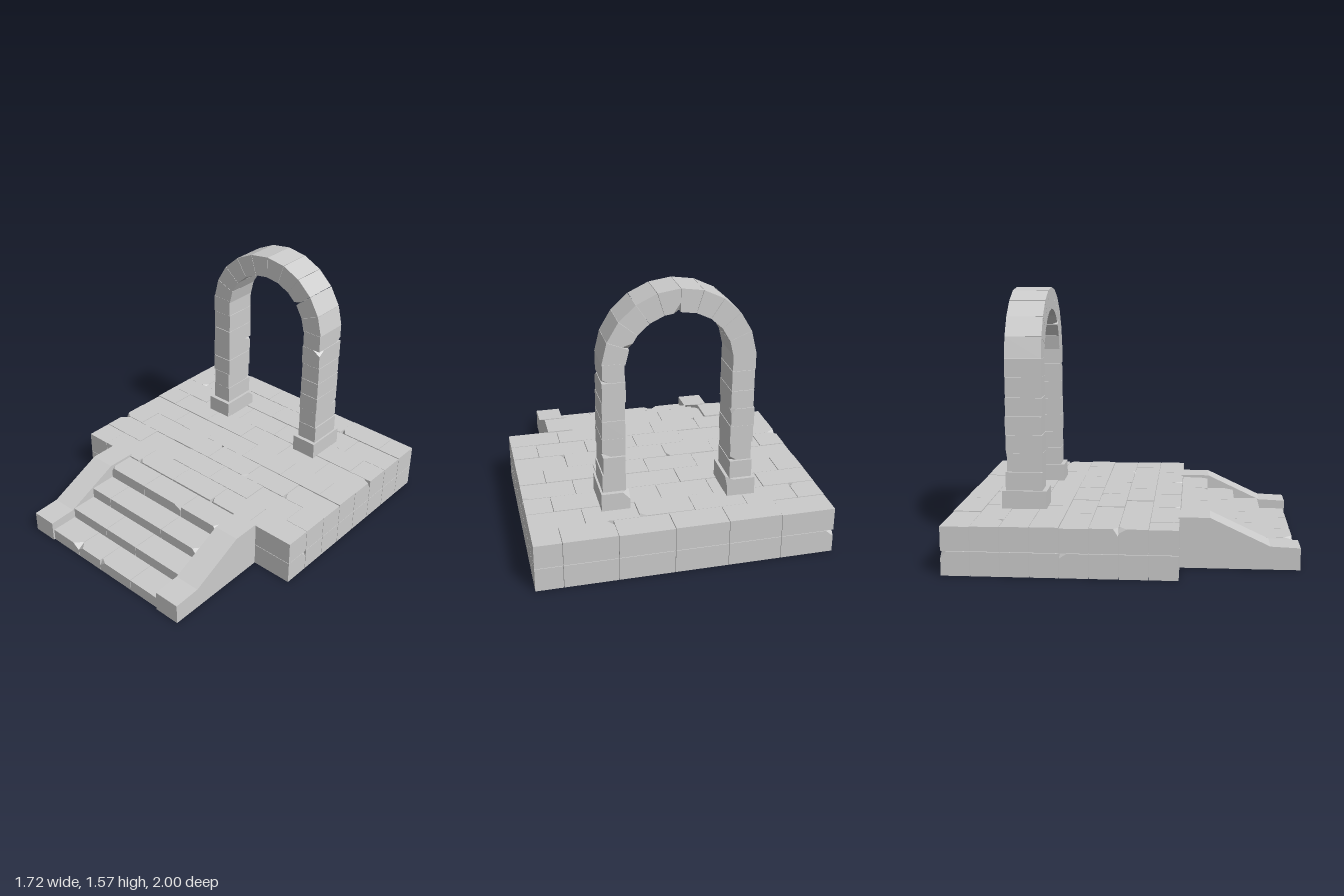
import * as THREE from 'three';
import { ConvexGeometry } from 'three/addons/geometries/ConvexGeometry.js';
import { mergeGeometries } from 'three/addons/utils/BufferGeometryUtils.js';

const stone = new THREE.MeshStandardMaterial({ color: 0xcccccc, flatShading: true, side: THREE.DoubleSide });

// Seeded random numbers in 0..1
let seed = 7;
const rand = () => {
  seed = (seed * 16807) % 2147483647;
  return seed / 2147483647;
};

// Eight corners of a box; bits 1, 2, 4 of the index pick the x, y, z side
function boxCorners(x0, x1, y0, y1, z0, z1) {
  return [...Array(8).keys()].map(i =>
    new THREE.Vector3(i & 1 ? x1 : x0, i & 2 ? y1 : y0, i & 4 ? z1 : z0));
}

// Stone with some corners broken off, optionally hollow below
function stoneBlock(corners, chipped = [], openBottom = false) {
  const points = [];
  corners.forEach((c, i) => {
    if (!chipped.includes(i)) return points.push(c);
    for (const bit of [1, 2, 4]) {
      const n = corners[i ^ bit];
      const cut = Math.min(0.02 + 0.035 * rand(), c.distanceTo(n) * 0.45);
      points.push(c.clone().lerp(n, cut / c.distanceTo(n)));
    }
  });
  const geo = new ConvexGeometry(points);
  if (!openBottom) return geo;
  const pos = geo.attributes.position, nor = geo.attributes.normal, p = [], n = [];
  for (let i = 0; i < pos.count; i += 3) {
    if (nor.getY(i) < -0.9) continue;
    for (let k = i; k < i + 3; k++) {
      p.push(pos.getX(k), pos.getY(k), pos.getZ(k));
      n.push(nor.getX(k), nor.getY(k), nor.getZ(k));
    }
  }
  const open = new THREE.BufferGeometry();
  open.setAttribute('position', new THREE.Float32BufferAttribute(p, 3));
  open.setAttribute('normal', new THREE.Float32BufferAttribute(n, 3));
  return open;
}

function addMesh(group, name, geos) {
  geos.forEach(g => g.deleteAttribute('uv'));
  const mesh = new THREE.Mesh(mergeGeometries(geos), stone);
  mesh.name = name;
  group.add(mesh);
}

// Now and then pick one top corner to break off
const maybeChip = chance => (rand() < chance ? [[2, 3, 6, 7][Math.floor(rand() * 4)]] : []);

function buildPlatform(group) {
  const joints = [
    [-0.865, -0.55, -0.24, 0.07, 0.39, 0.70, 0.86],
    [-0.865, -0.705, -0.395, -0.085, 0.235, 0.545, 0.86],
  ];
  const paving = [], footing = [], rows = 8, depth = 0.165, gap = 0.0015;
  for (let r = 0; r < rows; r++) {
    const xs = joints[r % 2], z0 = -1 + r * depth + (r ? gap : 0), z1 = -1 + (r + 1) * depth - gap;
    for (let i = 0; i < xs.length - 1; i++) {
      const edge = r === 0 || r === rows - 1 || i === 0 || i === xs.length - 2;
      const x0 = xs[i] + (i ? gap : 0), x1 = xs[i + 1] - gap;
      const top = 0.282 + 0.006 * rand();
      // The rim has two courses, the inner stones run full height
      paving.push(stoneBlock(boxCorners(x0, x1, edge ? 0.143 : 0, top, z0, z1), maybeChip(edge ? 0.35 : 0.12), true));
      if (edge) footing.push(stoneBlock(boxCorners(x0, x1, 0, 0.14, z0, z1), maybeChip(0.3), true));
    }
  }
  addMesh(group, 'paving', paving);
  addMesh(group, 'footing', footing);
}

function buildStairs(group) {
  // Each step: back z, front z, top y, joints along x
  const steps = [
    [0.82, 0.99, 0.075, [-0.475, -0.245, -0.05, 0.21, 0.437]],
    [0.655, 0.818, 0.142, [-0.475, -0.175, 0.08, 0.437]],
    [0.485, 0.653, 0.208, [-0.475, -0.315, 0.135, 0.437]],
    [0.322, 0.483, 0.28, [-0.475, -0.18, 0.14, 0.437]],
  ];
  const stones = [];
  for (const [z0, z1, top, xs] of steps) {
    for (let i = 0; i < xs.length - 1; i++) {
      const chips = rand() < 0.6 ? [rand() < 0.5 ? 6 : 7] : [];
      stones.push(stoneBlock(boxCorners(xs[i] + 0.0015, xs[i + 1] - 0.0015, 0, top, z0, z1), chips, true));
    }
  }
  addMesh(group, 'steps', stones);

  // Sloping cheek walls, profile drawn in z and y
  const profile = new THREE.Shape([[0.31, 0], [1, 0], [1, 0.128], [0.83, 0.135], [0.49, 0.295], [0.31, 0.295]]
    .map(([z, y]) => new THREE.Vector2(-z, y)));
  for (const [name, x0, x1] of [['rightCheekWall', -0.635, -0.475], ['leftCheekWall', 0.437, 0.6]]) {
    const geo = new THREE.ExtrudeGeometry(profile, { depth: x1 - x0, bevelEnabled: false });
    geo.rotateY(Math.PI / 2).translate(x0, 0, 0);
    addMesh(group, name, [geo]);
  }
}

function buildArch(group) {
  const cx = -0.018, cy = 1.13, inner = 0.304, outer = 0.436, zBack = -0.705, zFront = -0.49;
  // Pillars of stacked stones on wider bases
  const courses = [0.385, 0.5, 0.61, 0.72, 0.83, 0.94, 1.06, 1.168];
  for (const side of [-1, 1]) {
    const name = side < 0 ? 'right' : 'left';
    const xa = cx + side * inner, xb = cx + side * outer;
    const x0 = Math.min(xa, xb), x1 = Math.max(xa, xb);
    addMesh(group, name + 'PillarBase',
      [stoneBlock(boxCorners(x0 - 0.017, x1 + 0.017, 0.28, 0.39, -0.73, -0.465), [side < 0 ? 3 : 2])]);
    const stones = [];
    for (let i = 0; i < courses.length - 1; i++) {
      const j = () => (rand() - 0.5) * 0.01;
      stones.push(stoneBlock(
        boxCorners(x0 + j(), x1 + j(), courses[i] + 0.001, courses[i + 1] - 0.001, zBack + j(), zFront + j() / 2),
        rand() < 0.4 ? [Math.floor(rand() * 8)] : []));
    }
    addMesh(group, name + 'Pillar', stones);
  }

  // Ring of wedge stones
  const wedges = [], count = 10, start = 5;
  for (let i = 0; i < count; i++) {
    const step = (180 - 2 * start) / count;
    const a0 = THREE.MathUtils.degToRad(start + i * step + 0.15);
    const a1 = THREE.MathUtils.degToRad(start + (i + 1) * step - 0.15);
    const corners = [...Array(8).keys()].map(k => {
      const a = k & 1 ? a1 : a0, r = k & 2 ? outer : inner;
      return new THREE.Vector3(cx + r * Math.cos(a), cy + r * Math.sin(a), k & 4 ? zFront : zBack);
    });
    wedges.push(stoneBlock(corners, rand() < 0.4 ? [[0, 1, 4, 5][Math.floor(rand() * 4)]] : []));
  }
  addMesh(group, 'archRing', wedges);
}

export function createModel() {
  seed = 7;
  const model = new THREE.Group();
  model.name = 'stoneArchPlatform';
  for (const [name, build] of [['platform', buildPlatform], ['stairs', buildStairs], ['arch', buildArch]]) {
    const part = new THREE.Group();
    part.name = name;
    build(part);
    model.add(part);
  }
  return model;
}
